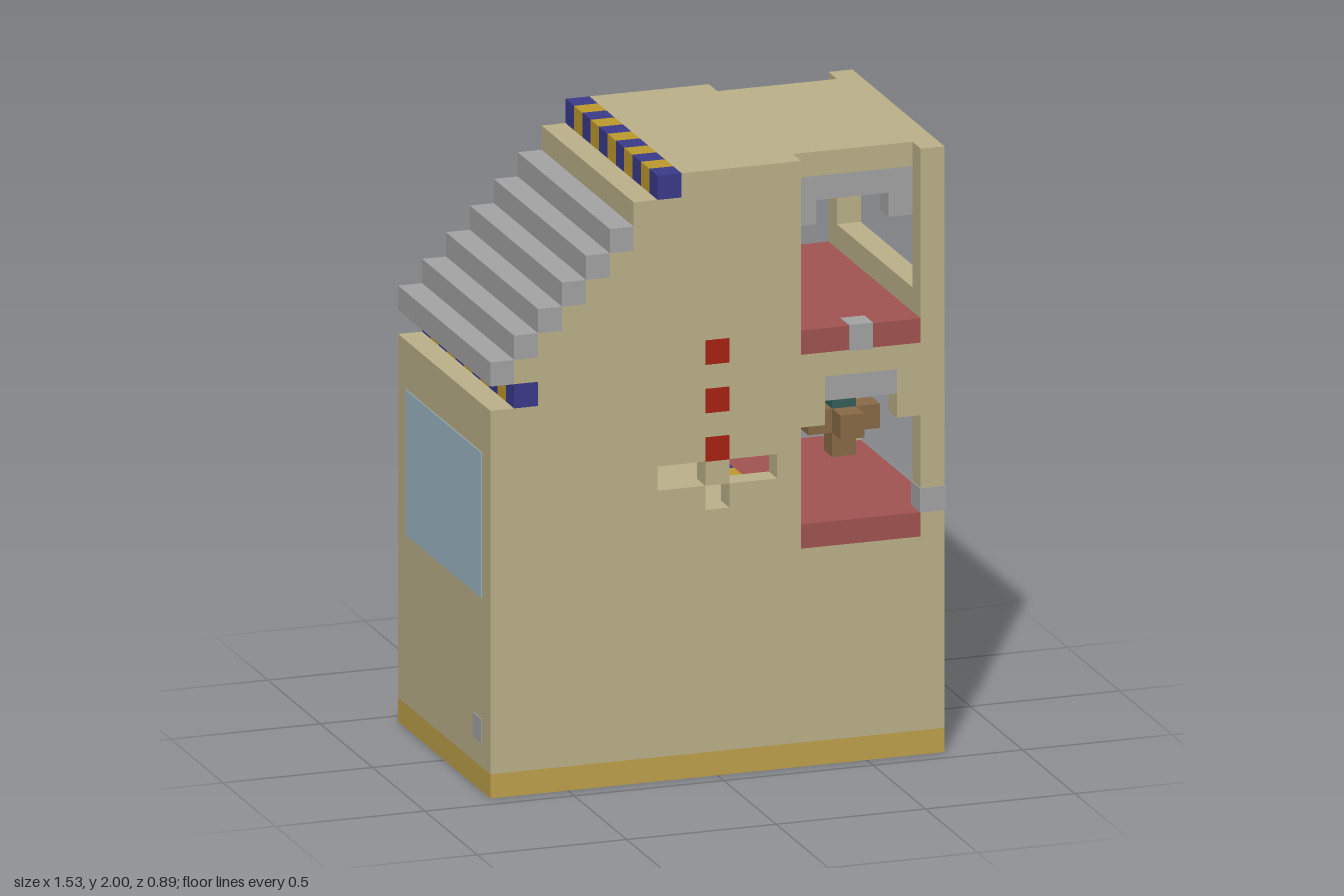
import * as THREE from 'three';

const mat = (name, color) => {
  const m = new THREE.MeshStandardMaterial({ color });
  m.name = name;
  return m;
};

export function createModel() {
  const tan = mat('tan wall', 0xbdb28a), gold = mat('gold trim', 0xbe9b2e), sand = mat('base gold', 0xc0a24c),
    blue = mat('blue trim', 0x3a3a8c), gray = mat('gray stone', 0xa5a5a5), rose = mat('rose floor', 0xa25452),
    red = mat('bright red', 0xa82212), brown = mat('brown wood', 0x8a6b48), teal = mat('teal', 0x35605c),
    glass = mat('pale blue panel', 0x9db8c4);

  const model = new THREE.Group();
  model.name = 'steppedHouse';
  // Everything is laid out on a grid of 19 x 25 x 11 cells
  const house = new THREE.Group();
  house.name = 'house';
  house.scale.setScalar(0.08);
  house.position.set(-0.76, 0, -0.44);
  model.add(house);

  const add = (name, geo, m) => {
    const mesh = new THREE.Mesh(geo, m);
    mesh.name = name;
    house.add(mesh);
    return mesh;
  };
  const box = (name, m, x0, x1, y0, y1, z0, z1) =>
    add(name, new THREE.BoxGeometry(x1 - x0, y1 - y0, z1 - z0), m)
      .position.set((x0 + x1) / 2, (y0 + y1) / 2, (z0 + z1) / 2);
  // Same box on the front and the back
  const pair = (name, m, x0, x1, y0, y1, z0, z1) => {
    box(name + 'Back', m, x0, x1, y0, y1, z0, z1);
    box(name + 'Front', m, x0, x1, y0, y1, 11 - z1, 11 - z0);
  };
  const points = list => list.map(p => new THREE.Vector2(p[0], p[1]));
  const slab = (name, outline, holes, z0, z1) => {
    const shape = new THREE.Shape(points(outline));
    holes.forEach(h => shape.holes.push(new THREE.Path(points(h))));
    add(name, new THREE.ExtrudeGeometry(shape, { depth: z1 - z0, bevelEnabled: false }), tan).position.z = z0;
  };
  const rect = (x0, x1, y0, y1) => [[x0, y0], [x1, y0], [x1, y1], [x0, y1]];
  // Row of alternating cells along z
  const checker = (name, a, b, x0, x1, y0, y1, z0, z1) => {
    for (let z = z0; z < z1; z++) box(name, (z - z0) % 2 ? b : a, x0, x1, y0, y1, z, z + 1);
  };
  const e = 0.04; // thickness of painted plates

  // Stepped roof profile, from the ridge down to the eave
  const slope = [[8, 25], [8, 24], [6, 24]];
  for (let i = 5; i >= 1; i--) slope.push([i + 1, 17 + i], [i, 17 + i]);
  slope.push([1, 17], [2, 17], [2, 16], [0, 16]);

  // Front and back walls with cross window and room openings
  const outline = [[0, 1], [19, 1], [19, 25], [18, 25], [18, 17], [13, 17], [13, 25], ...slope];
  const doorway = [[13, 9], [18, 9], [18, 14], [17, 14], [17, 16], [14, 16], [14, 14], [13, 14]];
  const holes = [rect(7, 9, 12, 13), rect(10, 12, 12, 13), rect(9, 10, 11, 12), doorway];
  slab('backWall', outline, holes, 0, 1);
  slab('frontWall', outline, holes, 10, 11);

  // Core between the walls
  slab('atticCore', [[0, 15], [13, 15], [13, 25], ...slope], [], 1, 10);
  box('base', sand, 0, 19, 0, 1, 0, 11);
  box('lowerStorey', tan, 0, 19, 1, 9, 1, 10);
  box('hallFloor', tan, 0, 13, 9, 10, 1, 10);
  box('doorWall', tan, 0, 1, 10, 15, 1, 10);

  // Roof steps and striped trims
  for (let i = 0; i < 6; i++) box('roofStep', gray, i, i + 1, 17 + i, 18 + i, 0, 11);
  checker('ridgeTrim', blue, gold, 7, 8, 24, 25, 0, 11);
  checker('eaveTrim', blue, gold, 1, 2, 16, 17, 0, 11);
  checker('sideTrim', gold, blue, 19 - e, 19 + e, 16, 17, 1, 10);
  checker('thresholdTrim', gold, blue, 12, 13, 10, 10 + e, 1, 10);

  // Lower open room
  box('lowerFloor', rose, 13, 18, 9, 10, 0, 11);
  box('lowerFloorEdge', rose, 18, 19, 9, 10, 1, 10);
  box('redBand', red, 19 - e, 19 + e, 8, 9, 1, 10);
  box('lowerCeiling', gray, 13, 18, 15, 16, 1, 10);
  pair('lowerLintel', gray, 14, 17, 15, 16, 0, 1);
  box('sideLowerLintel', gray, 18, 19, 15, 16, 2, 9);
  pair('sideLowerCorner', tan, 18, 19, 14, 16, 1, 2);
  box('cornerStone', gray, 18 - e, 19 + e, 10, 11, 10 - e, 11 + e);

  // Upper open room
  box('middleSlab', tan, 13, 18, 16, 17, 1, 10);
  box('upperFloor', rose, 13, 18, 17, 18, 0, 11);
  pair('sillStone', gray, 15, 16, 17 - e, 18 + e, -e, 1);
  box('sideBeam', tan, 18, 19, 16, 19, 1, 10);
  pair('sideUpperCorner', tan, 18, 19, 22, 24, 1, 2);
  box('sideUpperLintel', gray, 18, 19, 23, 24, 2, 9);
  box('upperCeiling', gray, 13, 18, 23, 24, 1, 10);
  pair('upperArchWest', gray, 13, 14, 22, 23, 1, 2);
  pair('upperArchEast', gray, 17, 18, 22, 23, 1, 2);
  box('roof', tan, 13, 19, 24, 25, 1, 10);

  // Hanging lamps
  pair('lampMount', teal, 15, 16, 14, 15, 2, 3);
  pair('lampStem', brown, 15, 16, 12, 14, 2, 3);
  pair('lampArmWest', brown, 14, 15, 13, 14, 2, 3);
  pair('lampArmEast', brown, 16, 17, 13, 14, 2, 3);
  pair('lampArmOuter', brown, 15, 16, 13, 14, 1, 2);
  pair('lampArmInner', brown, 15, 16, 13, 14, 3, 4);

  // Hall end wall panelling
  box('panelling', brown, 1, 1 + e, 11, 15, 1, 10);
  pair('panelStone', gray, 1, 1 + 2 * e, 12, 13, 1, 2);
  checker('panelSkirting', gray, teal, 1, 1 + e, 10, 11, 1, 10);

  // Red wall studs, pale panel and knob
  for (const y of [13, 15, 17]) pair('wallStud', red, 9, 10, y, y + 1, -e, e);
  box('palePanel', glass, -e, e, 8, 14, 1, 10);
  box('knob', gray, -e, e, 2, 3, 9, 10);

  return model;
}
